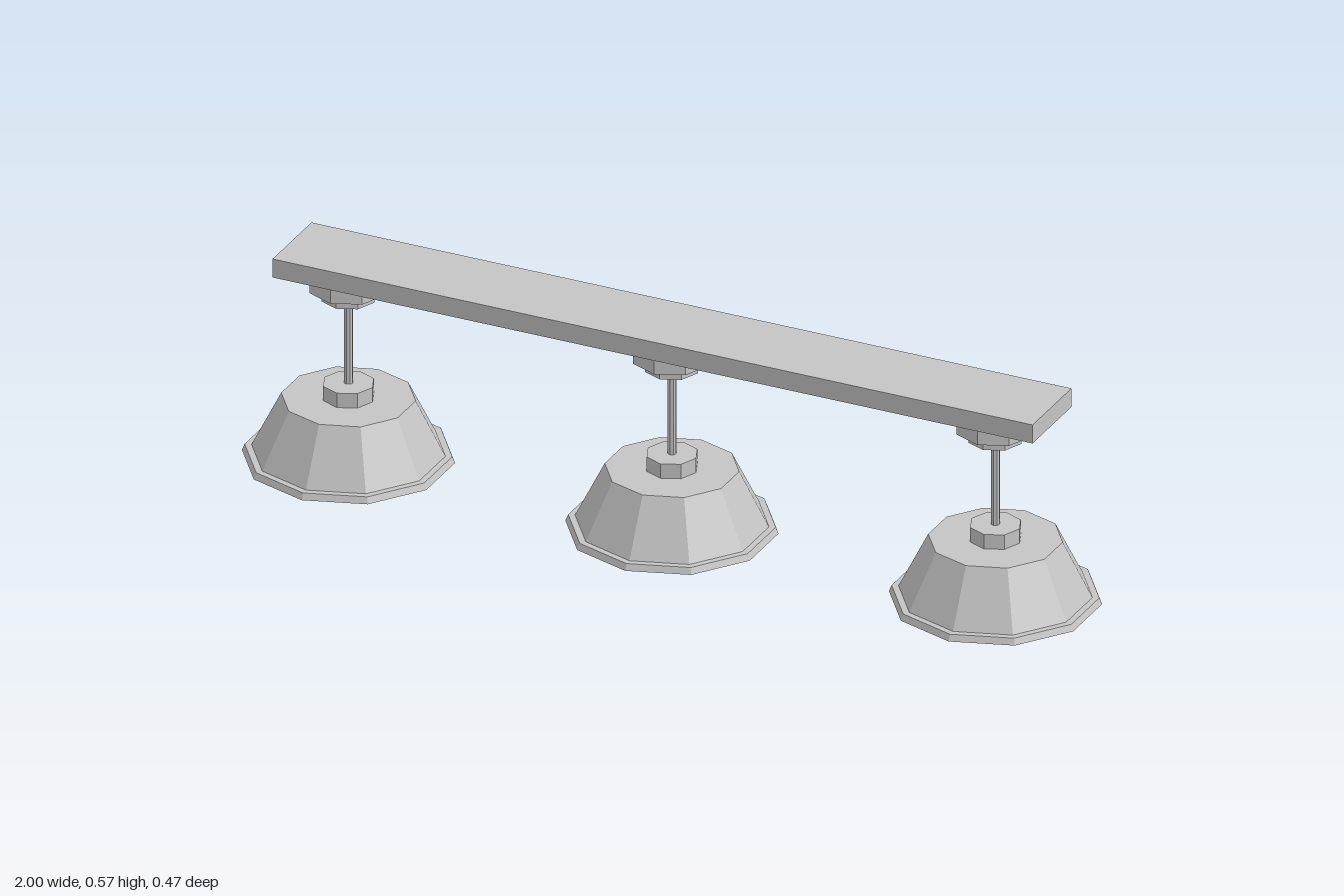
import * as THREE from 'three';

const grey = new THREE.MeshStandardMaterial({ color: 0xc4c4c4 });
grey.name = 'grey metal';

// Mesh with hard facets
function facetedMesh(name, geometry, y = 0) {
  const g = geometry.index ? geometry.toNonIndexed() : geometry;
  g.computeVertexNormals();
  const mesh = new THREE.Mesh(g, grey);
  mesh.name = name;
  mesh.position.y = y;
  return mesh;
}

// Prism or frustum between two heights
function column(name, rTop, rBottom, y0, y1, sides = 8) {
  return facetedMesh(name, new THREE.CylinderGeometry(rTop, rBottom, y1 - y0, sides), (y0 + y1) / 2);
}

// Hollow ten-sided shade: inside wall, rim, outside wall, closed top
const shadeProfile = [
  [0, 0.212], [0.141, 0.212], [0.206, 0.082], [0.22, 0.073],
  [0.233, 0.073], [0.227, 0.088], [0.212, 0.088], [0.147, 0.218], [0, 0.218],
].map(([r, y]) => new THREE.Vector2(r, y));

function pendant(name, x) {
  const lamp = new THREE.Group();
  lamp.name = name;
  lamp.position.x = x;
  lamp.add(
    column('ceilingCup', 0.09, 0.09, 0.485, 0.522),
    column('cupCollar', 0.062, 0.062, 0.46, 0.485),
    column('rod', 0.01, 0.01, 0.25, 0.462),
    column('shadeCap', 0.058, 0.058, 0.217, 0.253),
    facetedMesh('shade', new THREE.LatheGeometry(shadeProfile, 10)),
    column('bulbNeck', 0.03, 0.05, 0.122, 0.213),
    facetedMesh('bulb', new THREE.IcosahedronGeometry(0.074, 1), 0.074),
  );
  return lamp;
}

export function createModel() {
  const model = new THREE.Group();
  model.name = 'pendantLightBar';

  // Mounting bar along the ceiling
  model.add(facetedMesh('mountingBar', new THREE.BoxGeometry(1.828, 0.045, 0.194), 0.5445));

  // Three equal hanging lamps
  const names = ['rightLamp', 'middleLamp', 'leftLamp'];
  names.forEach((name, i) => model.add(pendant(name, (i - 1) * 0.778)));
  return model;
}
